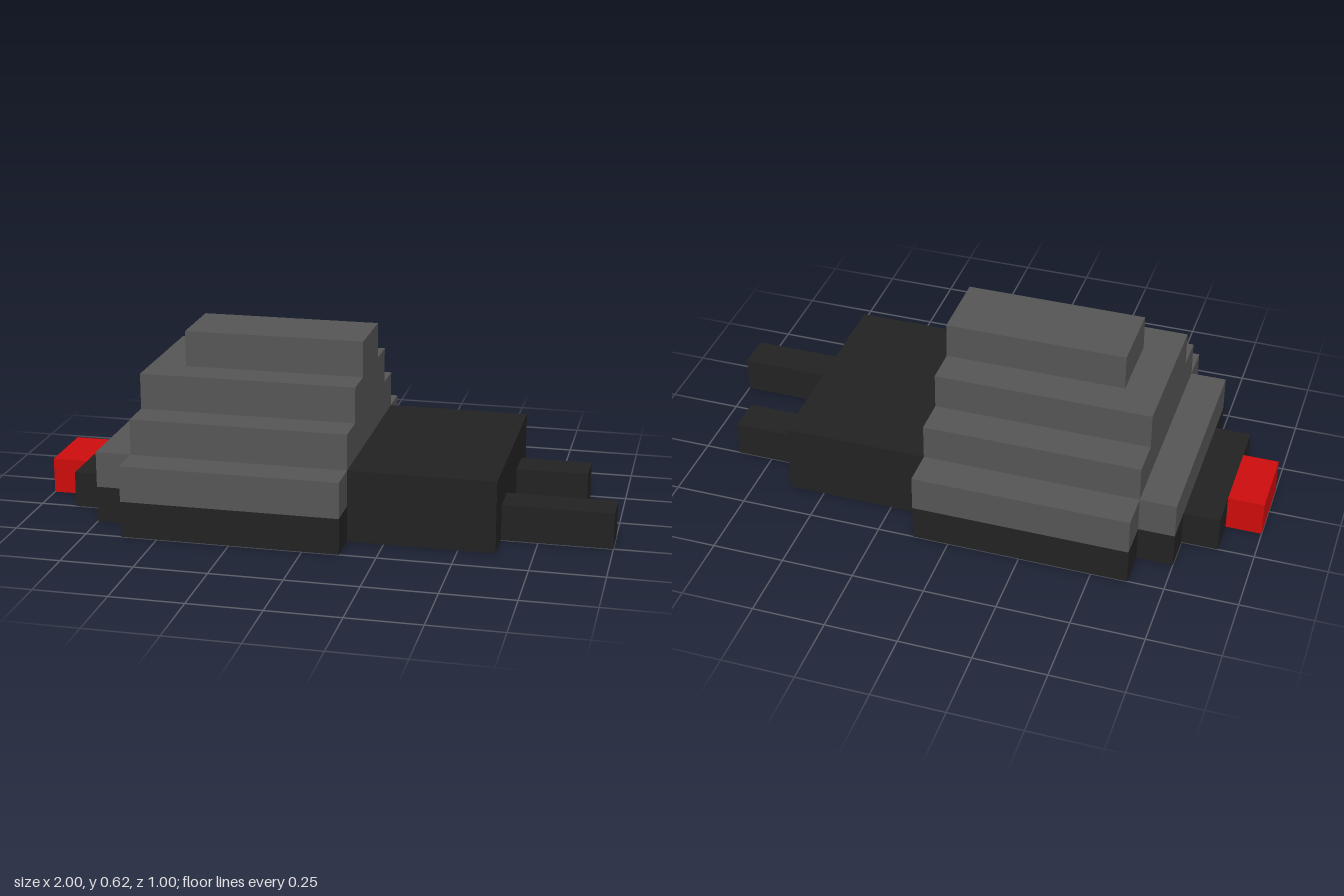
import * as THREE from 'three';

const U = 0.125; // one block

export function createModel() {
  const model = new THREE.Group();
  model.name = 'blockCreature';

  const material = (name, color) => {
    const m = new THREE.MeshStandardMaterial({ color });
    m.name = name;
    return m;
  };
  const grey = material('shellGrey', 0x555555);
  const black = material('bodyBlack', 0x222222);
  const red = material('noseRed', 0xcc0c0c);

  // Slab from a half outline of [x, z] corners in blocks, mirrored across z = 0
  function slab(name, mat, half, y0, y1) {
    const mirrored = half.map(([x, z]) => [x, -z]).reverse();
    const points = [...half, ...mirrored].map(([x, z]) => new THREE.Vector2(x * U, z * U));
    const geometry = new THREE.ExtrudeGeometry(new THREE.Shape(points), {
      depth: (y1 - y0) * U, bevelEnabled: false,
    });
    geometry.rotateX(-Math.PI / 2);
    const mesh = new THREE.Mesh(geometry, mat);
    mesh.name = name;
    mesh.position.y = y0 * U;
    model.add(mesh);
  }

  // Box from its extents in blocks
  function block(name, mat, [x0, x1], [y0, y1], [z0, z1]) {
    const geometry = new THREE.BoxGeometry((x1 - x0) * U, (y1 - y0) * U, (z1 - z0) * U);
    const mesh = new THREE.Mesh(geometry, mat);
    mesh.name = name;
    mesh.position.set((x0 + x1) / 2 * U, (y0 + y1) / 2 * U, (z0 + z1) / 2 * U);
    model.add(mesh);
  }

  // Body: stepped base and the raised rear
  slab('base', black,
    [[-7, 2], [-6, 2], [-6, 3], [-5, 3], [-5, 4], [1, 4], [1, 3], [5, 3]], 0, 1);
  block('rear', black, [1, 5], [1, 2], [-3, 3]);

  // Shell: rim and narrowing tiers
  slab('shellRim', grey, [[-6, 3], [-5, 3], [-5, 4], [1, 4]], 1, 2);
  [[-5, 3], [-5, 2], [-4, 1]].forEach(([x, z], i) =>
    block(`shellTier${i + 1}`, grey, [x, 1], [2 + i, 3 + i], [-z, z]));

  // Nose and the two uneven legs
  block('nose', red, [-8, -7], [0, 1], [-1, 1]);
  block('longLeg', black, [5, 8], [0, 1], [1, 2]);
  block('shortLeg', black, [5, 7], [0, 1], [-2, -1]);

  return model;
}
